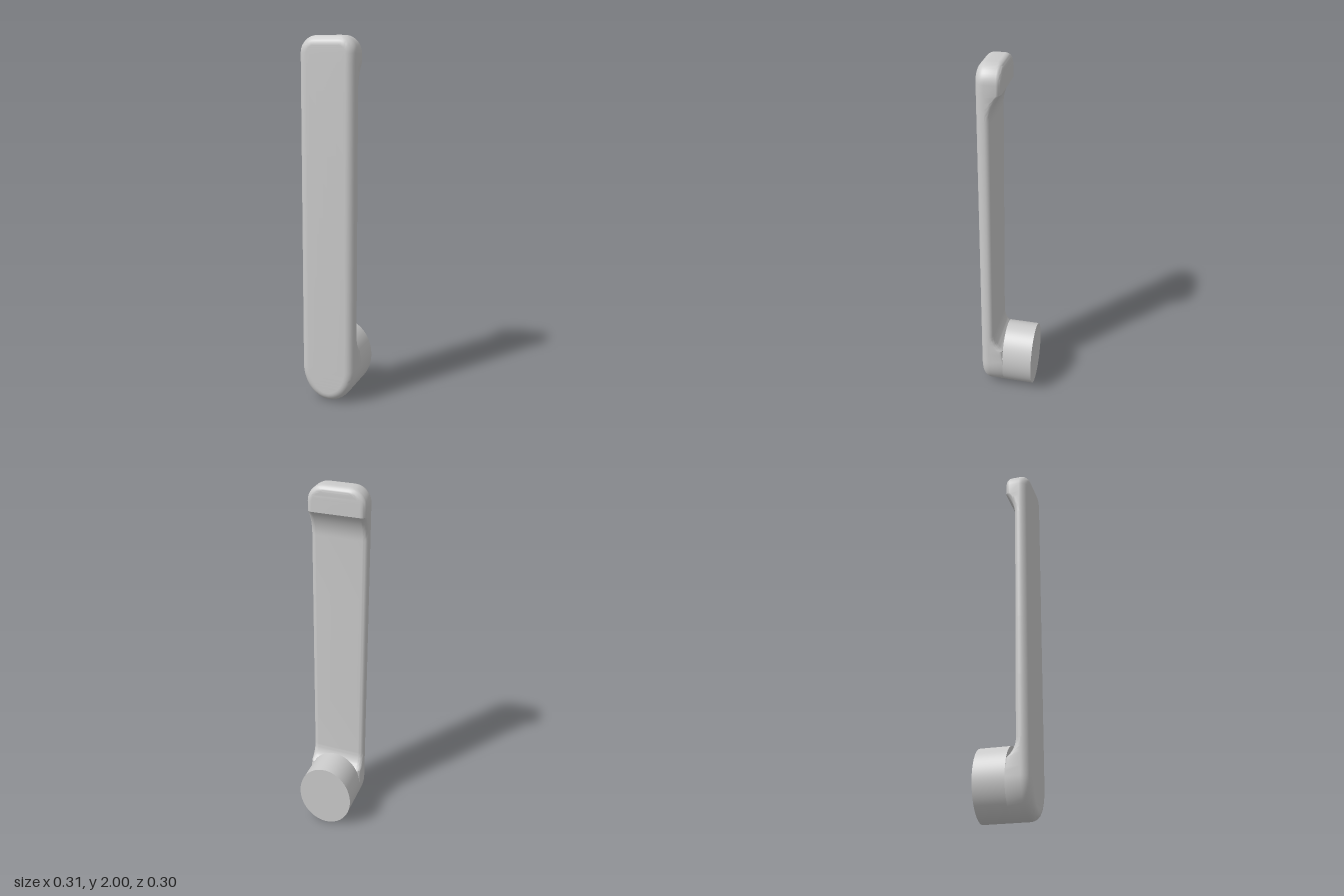
import * as THREE from 'three';
import { toCreasedNormals } from 'three/addons/utils/BufferGeometryUtils.js';

const HALF_W = 0.156, HUB_Y = 0.193, TOP = 2, CORNER = 0.09;
const FRONT_Z = 0.15, BAR_Z = 0.07, END_Z = 0.018;
const FRONT_R = 0.05, BACK_R = 0.03;
const LOW = [0.29, 0.39], HIGH = [1.72, 1.86]; // where the grip scoop curves

// Back surface depth: thin bar, scooped by an arc into each thicker end
function backZ(y) {
  if (y <= LOW[0] || y >= HIGH[1]) return END_Z;
  const arc = (t, span) => {
    const dz = BAR_Z - END_Z, r = (span * span + dz * dz) / (2 * dz);
    return BAR_Z - r + Math.sqrt(r * r - t * t);
  };
  if (y < LOW[1]) return arc(LOW[1] - y, LOW[1] - LOW[0]);
  if (y > HIGH[0]) return arc(y - HIGH[0], HIGH[1] - HIGH[0]);
  return BAR_Z;
}

// Right half of the front outline, bottom to top, with outward normals
function halfOutline() {
  const pts = [];
  for (let i = 0; i <= 20; i++) {
    const a = (i / 20 - 1) * Math.PI / 2, c = Math.cos(a), s = Math.sin(a);
    const n = new THREE.Vector2(c / HALF_W, s / HUB_Y).normalize();
    pts.push({ x: HALF_W * c, y: HUB_Y * (1 + s), nx: n.x, ny: n.y });
  }
  const side = (from, to, steps) => {
    for (let i = 1; i <= steps; i++) {
      pts.push({ x: HALF_W, y: from + (to - from) * i / steps, nx: 1, ny: 0 });
    }
  };
  side(HUB_Y, LOW[0], 4);
  side(LOW[0], LOW[1], 10);
  side(LOW[1], HIGH[0], 4);
  side(HIGH[0], HIGH[1], 10);
  for (let i = 0; i <= 10; i++) {
    const a = i / 10 * Math.PI / 2, c = Math.cos(a), s = Math.sin(a);
    pts.push({ x: HALF_W - CORNER + CORNER * c, y: TOP - CORNER + CORNER * s, nx: c, ny: s });
  }
  pts.push({ x: 0, y: TOP, nx: 0, ny: 1 });
  return pts;
}

function handleGeometry() {
  const right = halfOutline();
  const left = right.map(p => ({ ...p, x: -p.x, nx: -p.nx })).reverse();
  const loop = [...right, ...left], n = loop.length, steps = 7;
  const positions = [], index = [];
  let rings = 0;
  const addRing = fn => {
    loop.forEach(p => {
      const [inset, z] = fn(p);
      const y = p.y - p.ny * inset;
      positions.push(p.x - p.nx * inset, y, z ?? backZ(y) + fn(p)[2]);
    });
    rings++;
  };

  // Front rounding, from the flat face out to the full outline
  addRing(() => [FRONT_R + 0.004, FRONT_Z]);
  for (let i = 0; i <= steps; i++) {
    const a = i / steps * Math.PI / 2;
    addRing(() => [FRONT_R * (1 - Math.sin(a)), FRONT_Z - FRONT_R * (1 - Math.cos(a))]);
  }
  // Back rounding, fading out where the body meets the hub
  const radius = p => Math.max(0.001, BACK_R * THREE.MathUtils.smoothstep(p.y, 0.2, 0.3));
  for (let i = 0; i <= steps; i++) {
    const a = i / steps * Math.PI / 2;
    addRing(p => [radius(p) * (1 - Math.cos(a)), null, radius(p) * (1 - Math.sin(a))]);
  }
  addRing(p => [radius(p) + 0.004, null, 0]);

  for (let r = 0; r < rings - 1; r++) {
    for (let i = 0; i < n; i++) {
      const j = (i + 1) % n, a = r * n, b = a + n;
      index.push(a + i, b + i, b + j, a + i, b + j, a + j);
    }
  }
  // Flat faces, as strips between the right and left halves
  const last = (rings - 1) * n;
  for (let i = 0; i < right.length - 1; i++) {
    const l = n - 1 - i;
    index.push(i, i + 1, l - 1, i, l - 1, l);
    index.push(last + i, last + l - 1, last + i + 1, last + i, last + l, last + l - 1);
  }
  const g = new THREE.BufferGeometry();
  g.setAttribute('position', new THREE.Float32BufferAttribute(positions, 3));
  g.setIndex(index);
  return toCreasedNormals(g, 0.5);
}

export function createModel() {
  const group = new THREE.Group();
  group.name = 'leverHandle';
  const material = new THREE.MeshStandardMaterial({ color: 0xcccccc });

  const handle = new THREE.Mesh(handleGeometry(), material);
  handle.name = 'handle';
  group.add(handle);

  // Oval hub behind the lower end
  const hubFront = END_Z + 0.002, hubBack = -0.15;
  const hubGeometry = new THREE.CylinderGeometry(1, 1, hubFront - hubBack, 80);
  hubGeometry.rotateX(Math.PI / 2);
  hubGeometry.scale(HALF_W, HUB_Y, 1);
  const hub = new THREE.Mesh(hubGeometry, material);
  hub.name = 'hub';
  hub.position.set(0, HUB_Y, (hubFront + hubBack) / 2);
  group.add(hub);

  return group;
}
